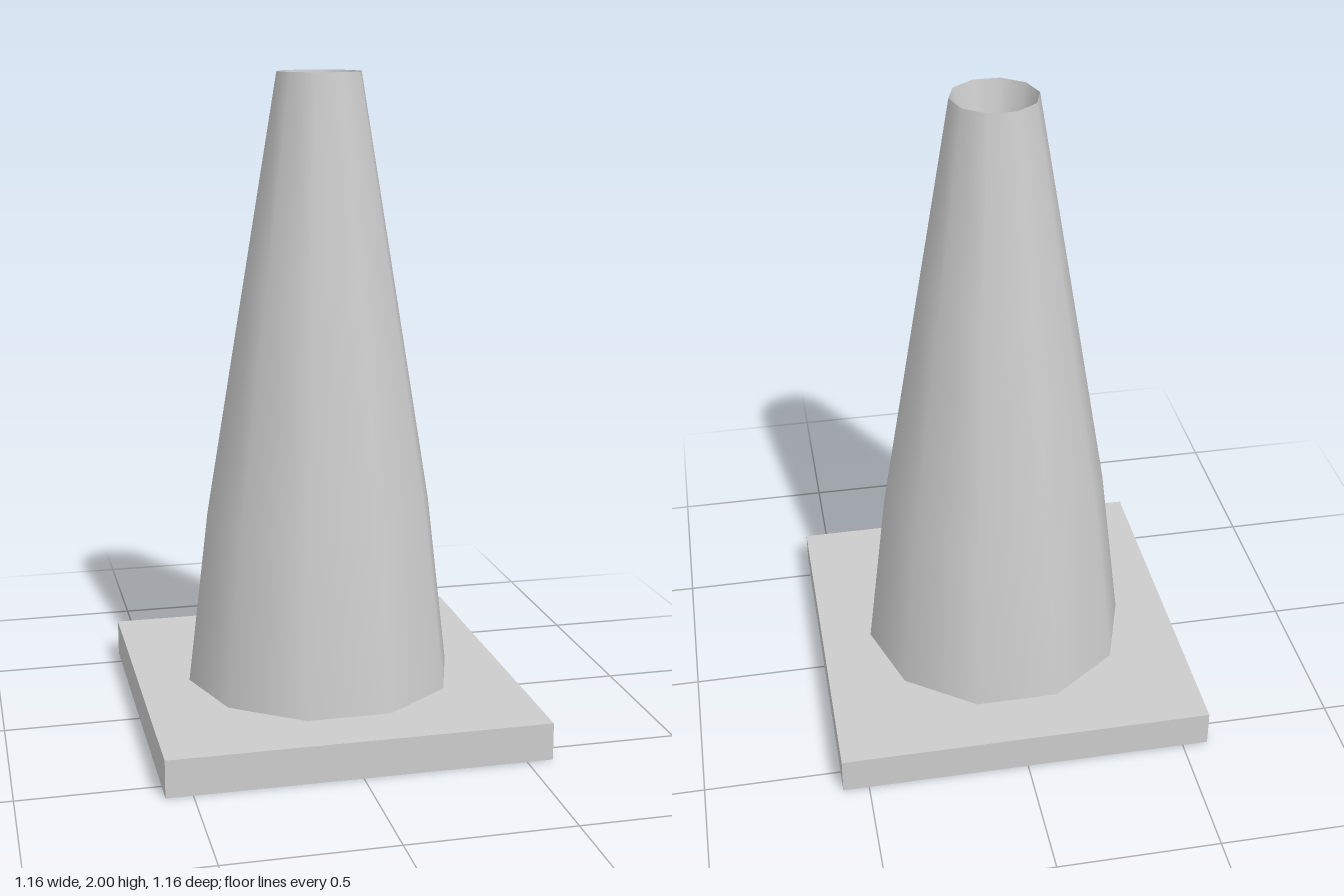
import * as THREE from 'three';

export function createModel() {
  const group = new THREE.Group();
  group.name = 'trafficCone';
  const grey = new THREE.MeshStandardMaterial({ color: 0xcccccc, side: THREE.DoubleSide });
  grey.name = 'plain grey';

  const add = (name, geometry) => {
    const mesh = new THREE.Mesh(geometry, grey);
    mesh.name = name;
    group.add(mesh);
    return mesh;
  };

  // Ten-sided smooth shell with a corner on the x axis
  const shell = (profile) => new THREE.LatheGeometry(
    profile.map(([r, y]) => new THREE.Vector2(r, y)), 10, Math.PI / 2);

  // Square base: a thin hollow tray, open underneath
  const baseHeight = 0.115;
  const tray = new THREE.BoxGeometry(1.16, baseHeight, 1.16);
  const faces = Array.from(tray.index.array);
  faces.splice(18, 6); // drop the bottom face
  tray.setIndex(faces);
  tray.clearGroups();
  add('base', tray).position.y = baseHeight / 2;

  // Cone body, flaring slightly less near the foot
  add('coneBody', shell([[0.42, baseHeight], [0.355, 0.66], [0.231, 1.4], [0.13, 2]]));

  // Inner lip narrowing down into the open tip
  add('innerLip', shell([[0.13, 2], [0.09, 1.8]]));

  return group;
}
